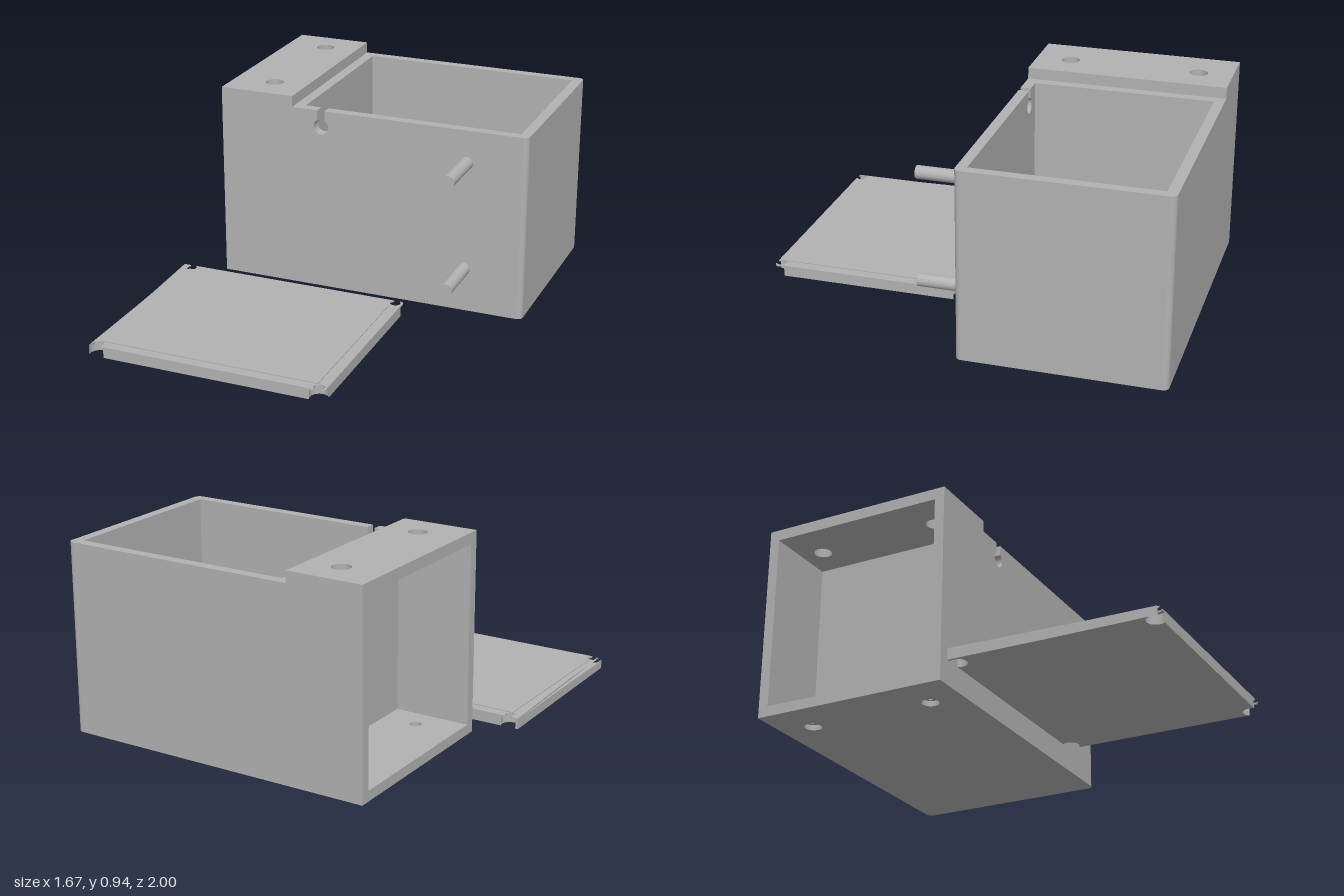
import * as THREE from 'three';

const grey = new THREE.MeshStandardMaterial({ color: 0xb2b2b2 });
grey.name = 'light grey plastic';

// Case extents: left/right x, back/front z, wall thickness, rim and roof heights
const X0 = -0.672, X1 = 0.832, Z0 = -1, Z1 = -0.065, T = 0.048, RIM = 0.885, TOP = 0.938;
const SCREWS = [[-0.472, -0.84], [-0.472, -0.228]];

export function createModel() {
  const model = new THREE.Group();
  const box = new THREE.Group();
  box.name = 'case';
  const lid = new THREE.Group();
  lid.name = 'lid';
  model.add(box, lid);

  const add = (parent, name, geometry) => {
    const mesh = new THREE.Mesh(geometry, grey);
    mesh.name = name;
    parent.add(mesh);
    return mesh;
  };
  const block = (parent, name, x0, x1, y0, y1, z0, z1) =>
    add(parent, name, new THREE.BoxGeometry(x1 - x0, y1 - y0, z1 - z0))
      .position.set((x0 + x1) / 2, (y0 + y1) / 2, (z0 + z1) / 2);
  // Extrude a plan drawn in (x, -z) upwards from y0 to y1
  const slab = (parent, name, shape, y0, y1) => {
    const g = new THREE.ExtrudeGeometry(shape, { depth: y1 - y0, bevelEnabled: false, curveSegments: 24 });
    g.rotateX(-Math.PI / 2).translate(0, y0, 0);
    return add(parent, name, g);
  };
  const drill = (shape, r) => {
    for (const [x, z] of SCREWS) shape.holes.push(new THREE.Path().absarc(x, -z, r, 0, Math.PI * 2, true));
    return shape;
  };

  // Case plan with rounded corners on the +x side
  const R = 0.028;
  const startOutline = (x) => new THREE.Shape().moveTo(x, -Z1).lineTo(x, -Z1);
  const footprint = () => {
    const s = new THREE.Shape();
    s.moveTo(X0, -Z1);
    s.lineTo(X1 - R, -Z1);
    s.absarc(X1 - R, -Z1 + R, R, -Math.PI / 2, 0, false);
    s.lineTo(X1, -Z0 - R);
    s.absarc(X1 - R, -Z0 - R, R, 0, Math.PI / 2, false);
    s.lineTo(X0, -Z0);
    return s;
  };

  // Floor with counterbored screw holes
  slab(box, 'floorLower', drill(footprint(), 0.04), 0, 0.025);
  slab(box, 'floorUpper', drill(footprint(), 0.027), 0.025, T);

  // Back and +x walls, wrapping round to the front wall
  const JOIN = 0.7, walls = new THREE.Shape();
  walls.moveTo(JOIN, -Z1);
  walls.lineTo(X1 - R, -Z1);
  walls.absarc(X1 - R, -Z1 + R, R, -Math.PI / 2, 0, false);
  walls.lineTo(X1, -Z0 - R);
  walls.absarc(X1 - R, -Z0 - R, R, 0, Math.PI / 2, false);
  walls.lineTo(X0, -Z0);
  walls.lineTo(X0, -Z0 - T);
  walls.lineTo(X1 - T, -Z0 - T);
  walls.lineTo(X1 - T, -Z1 + T);
  walls.lineTo(JOIN, -Z1 + T);
  slab(box, 'backAndSideWalls', walls, T, RIM);

  // Front wall with a keyhole cable slot
  const KX = -0.165, KY = 0.806, KR = 0.036, KW = 0.018, a = Math.acos(KW / KR);
  const front = new THREE.Shape();
  front.moveTo(X0, T);
  front.lineTo(JOIN, T);
  front.lineTo(JOIN, RIM);
  front.lineTo(KX + KW, RIM);
  front.absarc(KX, KY, KR, a, -Math.PI - a, true);
  front.lineTo(KX - KW, RIM);
  front.lineTo(X0, RIM);
  const frontGeo = new THREE.ExtrudeGeometry(front, { depth: T, bevelEnabled: false, curveSegments: 24 });
  add(box, 'frontWall', frontGeo.translate(0, 0, Z1 - T));

  // Partition, and the raised roof over the open end bay
  block(box, 'partition', -0.31, -0.26, T, RIM, Z0 + T, Z1 - T);
  const roof = new THREE.Shape();
  roof.moveTo(X0, -Z1);
  roof.lineTo(-0.31, -Z1);
  roof.lineTo(-0.31, -Z0);
  roof.lineTo(X0, -Z0);
  slab(box, 'raisedRoof', drill(roof, 0.043), RIM, TOP);

  // Two pins on the front wall
  for (const y of [0.21, 0.73]) {
    const pin = add(box, 'pin', new THREE.CylinderGeometry(0.03, 0.03, 0.265, 32));
    pin.rotation.x = Math.PI / 2;
    pin.position.set(0.548, y, 0.0595);
  }

  // Lid plan: screw holes of radius r break through the edges at each corner
  const L0 = -0.835, L1 = 0.305, H = 0.4675, HL = -0.787, HR = 0.271, IN = 0.022, C = 0.018;
  const lidPlan = (r) => {
    const s = new THREE.Shape(), b = Math.asin(IN / r), PI = Math.PI;
    const open = r > L1 - HR; // bore also cuts the +x edge
    const g = open ? Math.acos((L1 - HR) / r) : -b;
    s.moveTo(L0, -H);
    s.absarc(HL, -H + IN, r, PI + b, -b, true);
    s.absarc(HR, -H + IN, r, PI + b, g, true);
    if (!open) {
      s.lineTo(L1 - C, -H);
      s.quadraticCurveTo(L1, -H, L1, -H + C);
      s.lineTo(L1, H - C);
      s.quadraticCurveTo(L1, H, L1 - C, H);
    }
    s.absarc(HR, H - IN, r, -g, -PI - b, true);
    s.absarc(HL, H - IN, r, b, -PI - b, true);
    s.lineTo(L0, H);
    return s;
  };
  slab(lid, 'lidBody', lidPlan(0.042), 0, 0.044);
  slab(lid, 'lidFlange', lidPlan(0.026), 0.044, 0.052);
  block(lid, 'lidLip', L0 + 0.05, L1 - 0.05, 0.05, 0.056, -H + 0.048, H - 0.048);
  lid.position.z = 0.5325;

  return model;
}
